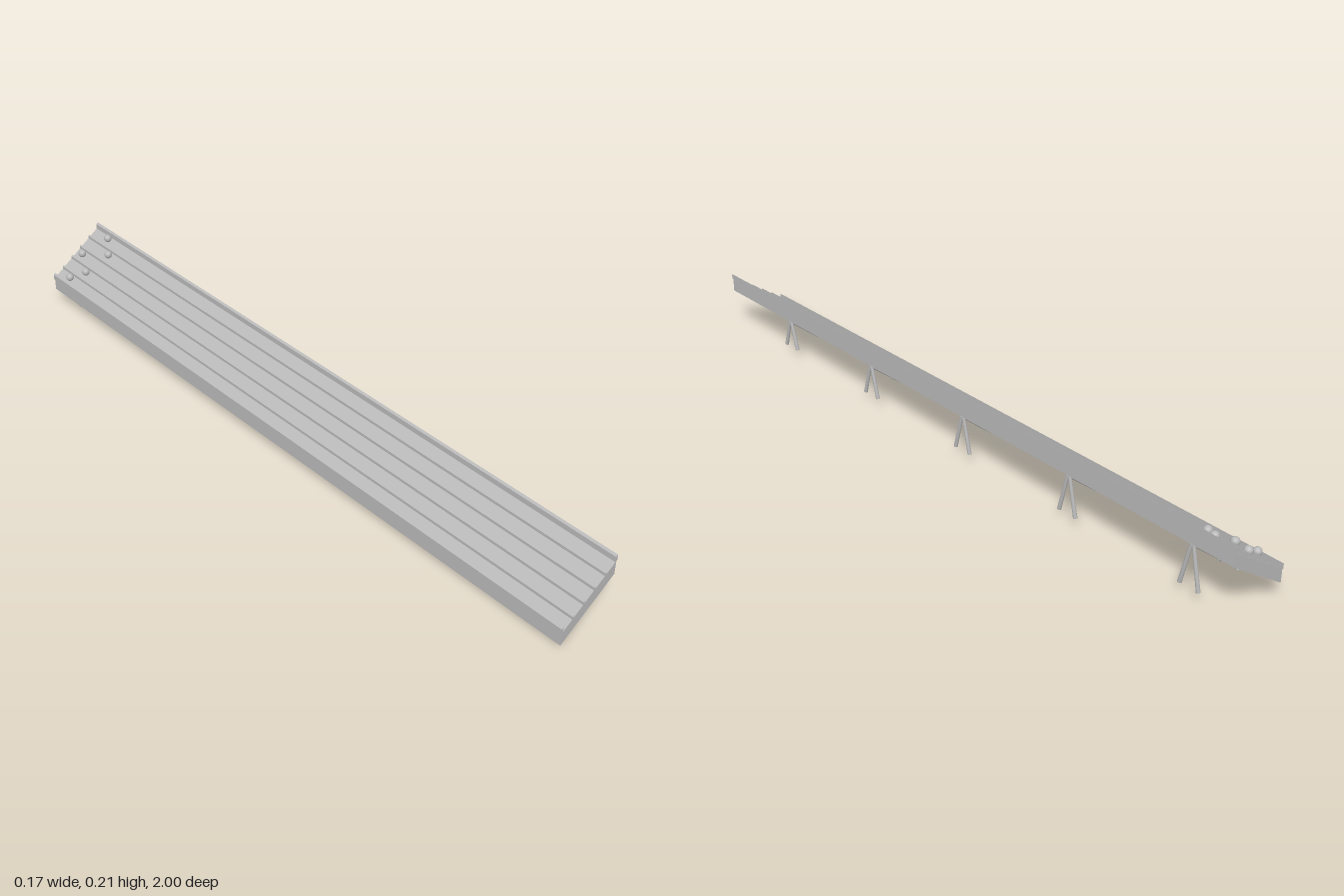
import * as THREE from 'three';

export function createModel() {
  const model = new THREE.Group();
  const grey = new THREE.MeshStandardMaterial({ color: 0xb8b8b8 });
  grey.name = 'plain grey';

  const SLAB = 0.038;     // deck thickness
  const FOOT = 0.036;     // common height of all trestle feet

  // The deck banks up towards +x and climbs towards the back
  const deckY = (x, z) => 0.107 + 0.68 * x + 0.02 * (1 - z);
  const underY = (x, z) => deckY(x, z) - SLAB;

  function add(parent, name, geometry) {
    const mesh = new THREE.Mesh(geometry, grey);
    mesh.name = name;
    parent.add(mesh);
    return mesh;
  }

  // Full-length bar sheared onto the sloping deck; bottom is its offset from the deck surface
  function slopedBar(name, x, width, bottom, height) {
    const g = new THREE.BoxGeometry(width, height, 2);
    g.translate(x, bottom + height / 2, 0);
    const p = g.attributes.position;
    for (let i = 0; i < p.count; i++) {
      p.setY(i, p.getY(i) + deckY(p.getX(i), p.getZ(i)));
    }
    g.computeVertexNormals();
    add(model, name, g);
  }

  // Round rod between two points
  function rod(parent, name, a, b, rTop, rBottom) {
    const from = new THREE.Vector3(...a), to = new THREE.Vector3(...b);
    const dir = from.clone().sub(to);
    const mesh = add(parent, name, new THREE.CylinderGeometry(rTop, rBottom, dir.length(), 12));
    mesh.position.copy(from).add(to).multiplyScalar(0.5);
    mesh.quaternion.setFromUnitVectors(new THREE.Vector3(0, 1, 0), dir.normalize());
  }

  // Deck, side rails and lane dividers
  slopedBar('deck', 0, 0.168, -SLAB, SLAB);
  for (const side of [-1, 1]) slopedBar('sideRail', side * 0.084, 0.006, 0, 0.015);
  for (let i = 0; i < 4; i++) slopedBar('laneDivider', -0.0505 + i * 0.0337, 0.004, 0, 0.008);

  // One ball resting in each lane
  const ballZ = [-0.94, -0.902, -0.966, -0.876, -0.923];
  ballZ.forEach((z, i) => {
    const x = (i - 2) * 0.0337;
    const ball = add(model, 'ball', new THREE.SphereGeometry(0.0115, 20, 14));
    ball.position.set(x, deckY(x, z) + 0.0125, z);
  });

  // Trestles: splayed legs on both sides joined by a cross strut
  for (let i = 0; i < 5; i++) {
    const z = 0.715 - i * 0.395;
    const trestle = new THREE.Group();
    trestle.name = 'trestle';
    model.add(trestle);
    for (const x of [-0.068, 0.068]) {
      const top = underY(x, z);
      if (top < FOOT + 0.003) continue; // deck already touches the feet here
      for (const s of [-1, 1]) {
        rod(trestle, 'leg', [x, top, z + s * 0.003], [x, FOOT, z + s * 0.028], 0.0045, 0.0055);
      }
    }
    rod(trestle, 'crossStrut', [0.068, underY(0.068, z) - 0.002, z],
      [-0.066, underY(-0.066, z) - 0.019, z], 0.0038, 0.0038);
  }

  return model;
}
